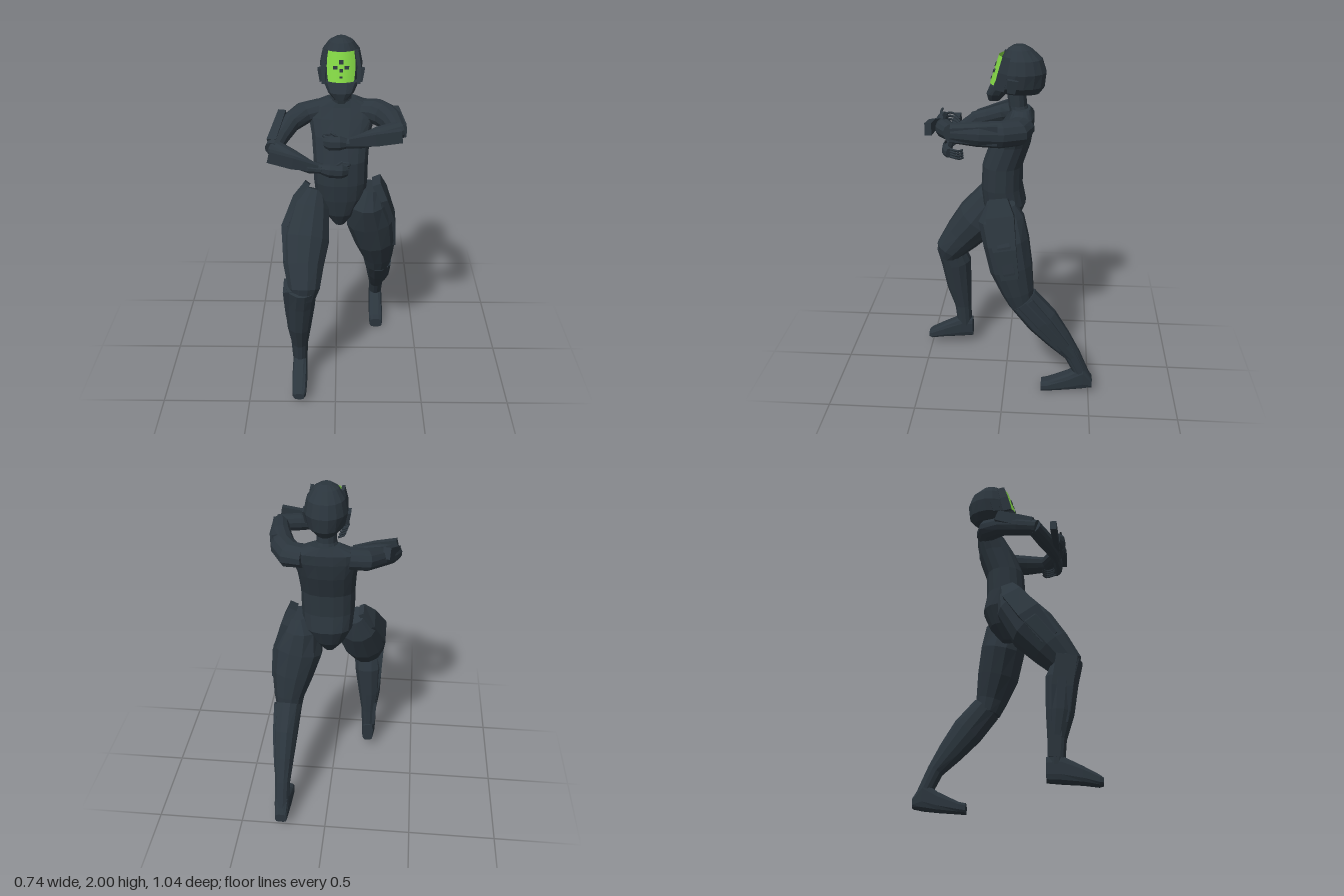
import * as THREE from 'three';

const suit = new THREE.MeshStandardMaterial({ color: 0x2b353d, flatShading: true, side: THREE.DoubleSide });
suit.name = 'darkSuit';
const glass = new THREE.MeshStandardMaterial({ color: 0x82d544, side: THREE.DoubleSide });
glass.name = 'greenVisor';

const X = new THREE.Vector3(1, 0, 0), Y = new THREE.Vector3(0, 1, 0), Z = new THREE.Vector3(0, 0, 1);

// Capped skin over rings [x, y, z, halfWidth along u, halfDepth]; axis fixes the ring plane; pow < 1 is boxier
function loft(name, rings, u0, { axis = null, sides = 12, pow = 1 } = {}) {
  const pos = [], idx = [], n = rings.length;
  const centre = rings.map(r => new THREE.Vector3(r[0], r[1], r[2]));
  const bend = v => Math.sign(v) * Math.pow(Math.abs(v), pow);
  rings.forEach((r, i) => {
    const t = axis ? axis.clone()
      : centre[Math.min(i + 1, n - 1)].clone().sub(centre[Math.max(i - 1, 0)]).normalize();
    const u = u0.clone().addScaledVector(t, -u0.dot(t)).normalize();
    const v = t.clone().cross(u);
    for (let j = 0; j < sides; j++) {
      const a = (j + 0.5) / sides * Math.PI * 2;
      const p = centre[i].clone().addScaledVector(u, bend(Math.cos(a)) * r[3])
        .addScaledVector(v, bend(Math.sin(a)) * (r[4] ?? r[3]));
      pos.push(p.x, p.y, p.z);
    }
  });
  for (let i = 0; i < n - 1; i++) for (let j = 0; j < sides; j++) {
    const k = (j + 1) % sides, a = i * sides, b = a + sides;
    idx.push(a + j, a + k, b + k, a + j, b + k, b + j);
  }
  const end = (n - 1) * sides;
  for (let j = 1; j < sides - 1; j++) idx.push(0, j + 1, j, end, end + j, end + j + 1);
  const geo = new THREE.BufferGeometry();
  geo.setAttribute('position', new THREE.Float32BufferAttribute(pos, 3));
  geo.setIndex(idx);
  geo.computeVertexNormals();
  const mesh = new THREE.Mesh(geo, suit);
  mesh.name = name;
  return mesh;
}

// Four-sided armour plate along a path
const plate = (name, rings, u) => loft(name, rings, u, { sides: 4 });

// Curled fingers and a thumb; dir is the way the hand points in x
function fingers(name, x, y, z, dir) {
  const g = new THREE.Group();
  g.name = name;
  const digit = pts => {
    const path = new THREE.CatmullRomCurve3(pts.map(p => new THREE.Vector3(x + dir * p[0], y + p[1], z + p[2])));
    g.add(new THREE.Mesh(new THREE.TubeGeometry(path, 6, 0.007, 5), suit));
  };
  for (let i = 0; i < 4; i++) {
    const h = 0.026 - i * 0.017, s = i * 0.006;
    digit([[-0.02, h, 0], [0.015 - s, h, -0.025], [0.012 - s, h - 0.01, -0.06], [-0.02 - s, h - 0.015, -0.08]]);
  }
  digit([[-0.06, 0.02, 0], [-0.045, 0.045, 0.015], [-0.02, 0.06, 0.01]]);
  return g;
}

function buildHead() {
  const g = new THREE.Group();
  g.name = 'head';
  const x = 0.025;
  g.add(loft('neck', [[x, 1.62, -0.08, 0.075, 0.055], [x, 1.68, -0.06, 0.055, 0.05], [x, 1.79, -0.05, 0.055, 0.055]], X, { axis: Y }));
  // y, back z, front z, half width
  const rings = [[1.745, -0.175, 0.02, 0.06], [1.785, -0.205, 0.072, 0.1], [1.86, -0.213, 0.053, 0.115],
    [1.93, -0.19, 0.03, 0.1], [1.98, -0.135, -0.005, 0.065], [2, -0.1, -0.035, 0.03]];
  // ring depth runs toward -z, which is symmetric here
  const toRing = ([y, b, f, w]) => [x, y, (b + f) / 2, w, (f - b) / 2];
  g.add(loft('helmet', rings.map(toRing), X, { axis: Y, sides: 16 }));
  g.add(loft('chinGuard', [[1.705, 0.035, 0.098, 0.035], [1.745, 0, 0.107, 0.07], [1.795, -0.03, 0.085, 0.095]].map(toRing),
    X, { axis: Y, pow: 0.8 }));
  for (const s of [-1, 1]) {
    g.add(plate('visorCheek', [[x + s * 0.092, 1.78, 0.035, 0.014, 0.04], [x + s * 0.094, 1.87, 0.015, 0.014, 0.035],
      [x + s * 0.08, 1.95, -0.005, 0.012, 0.03]], X));
    g.add(plate('earPad', [[x + s * 0.105, 1.77, -0.03, 0.012, 0.03], [x + s * 0.115, 1.84, -0.04, 0.015, 0.04]], X));
  }
  // Curved visor sheet
  const surf = (dx, y) => 0.088 - 0.32 * (y - 1.8) - 5.2 * dx * dx;
  const visorGeo = new THREE.PlaneGeometry(0.15, 0.15, 10, 4);
  const p = visorGeo.attributes.position;
  for (let i = 0; i < p.count; i++) {
    const y = 1.875 + p.getY(i), t = (y - 1.8) / 0.15;
    const dx = p.getX(i) * (0.9 + 0.1 * Math.sin(Math.PI * t));
    p.setXYZ(i, x + dx, y, surf(dx, y));
  }
  visorGeo.computeVertexNormals();
  const visor = new THREE.Mesh(visorGeo, glass);
  visor.name = 'visor';
  g.add(visor);
  // Small dark vents on the visor
  for (const [dx, y, w, h] of [[0, 1.9, 0.024, 0.022], [-0.03, 1.872, 0.024, 0.018], [0.03, 1.872, 0.024, 0.018],
    [0, 1.86, 0.018, 0.016], [0, 1.827, 0.016, 0.012]]) {
    const vent = new THREE.Mesh(new THREE.BoxGeometry(w, h, 0.006), suit);
    vent.position.set(x + dx, y, surf(dx, y) + 0.001);
    vent.rotation.x = -0.31;
    vent.name = 'visorVent';
    g.add(vent);
  }
  return g;
}

function buildTorso() {
  return loft('torso', [[0.02, 0.94, 0.03, 0.03, 0.035], [0.02, 1.02, 0.02, 0.09, 0.09], [0.025, 1.12, 0.01, 0.14, 0.12],
    [0.025, 1.22, 0.025, 0.15, 0.115], [0.025, 1.35, 0.02, 0.152, 0.112], [0.025, 1.48, -0.025, 0.162, 0.11],
    [0.03, 1.57, -0.06, 0.185, 0.09], [0.03, 1.625, -0.08, 0.185, 0.07], [0.03, 1.665, -0.08, 0.08, 0.05]],
  X, { axis: Y, sides: 16, pow: 0.85 });
}

function buildRightLeg() {
  const g = new THREE.Group();
  g.name = 'rightLeg';
  g.add(
    loft('thigh', [[-0.12, 1.16, 0.04, 0.06, 0.06], [-0.145, 1.07, 0.08, 0.11, 0.11], [-0.17, 0.92, 0.18, 0.137, 0.135],
      [-0.18, 0.8, 0.28, 0.115, 0.115], [-0.175, 0.7, 0.36, 0.09, 0.09], [-0.18, 0.65, 0.36, 0.07, 0.07]], X),
    plate('hipPlate', [[-0.16, 1.2, 0.04, 0.025, 0.05], [-0.22, 1.12, 0.07, 0.03, 0.08], [-0.285, 0.98, 0.16, 0.025, 0.09],
      [-0.275, 0.82, 0.27, 0.02, 0.07]], X),
    loft('shin', [[-0.19, 0.72, 0.37, 0.085, 0.08], [-0.2, 0.6, 0.33, 0.087, 0.092], [-0.21, 0.42, 0.315, 0.07, 0.077],
      [-0.21, 0.28, 0.295, 0.048, 0.052], [-0.21, 0.14, 0.287, 0.042, 0.046]], X),
    plate('shinPlate', [[-0.265, 0.72, 0.36, 0.035, 0.08], [-0.26, 0.55, 0.33, 0.03, 0.08], [-0.245, 0.36, 0.31, 0.02, 0.06]], X),
    plate('anklePlate', [[-0.245, 0.35, 0.29, 0.022, 0.05], [-0.24, 0.18, 0.28, 0.018, 0.04]], X),
    loft('foot', [[-0.21, 0.12, 0.235, 0.035, 0.065], [-0.21, 0.12, 0.31, 0.043, 0.072], [-0.21, 0.088, 0.42, 0.044, 0.047],
      [-0.21, 0.06, 0.5, 0.04, 0.03], [-0.21, 0.055, 0.52, 0.03, 0.02]], X, { axis: Z, pow: 0.6 }));
  return g;
}

function buildLeftLeg() {
  const g = new THREE.Group();
  g.name = 'leftLeg';
  g.add(
    loft('thigh', [[0.19, 1.17, 0.02, 0.06, 0.08], [0.18, 1.08, 0.02, 0.11, 0.13], [0.2, 0.95, -0.01, 0.146, 0.13],
      [0.23, 0.8, -0.04, 0.125, 0.122], [0.25, 0.66, -0.08, 0.09, 0.092], [0.25, 0.58, -0.1, 0.075, 0.07]], X),
    plate('hipPlate', [[0.225, 1.21, 0.03, 0.035, 0.07], [0.265, 1.12, 0.02, 0.035, 0.11], [0.325, 0.95, -0.01, 0.025, 0.09],
      [0.335, 0.78, -0.04, 0.02, 0.07]], X),
    loft('shin', [[0.255, 0.61, -0.11, 0.083, 0.088], [0.26, 0.48, -0.22, 0.073, 0.095], [0.26, 0.36, -0.315, 0.058, 0.075],
      [0.26, 0.25, -0.4, 0.045, 0.048], [0.26, 0.11, -0.465, 0.04, 0.042]], X),
    plate('shinPlate', [[0.31, 0.61, -0.12, 0.03, 0.08], [0.31, 0.47, -0.23, 0.025, 0.08], [0.3, 0.32, -0.35, 0.015, 0.05]], X),
    plate('anklePlate', [[0.285, 0.3, -0.375, 0.022, 0.04], [0.285, 0.15, -0.45, 0.018, 0.035]], X),
    loft('foot', [[0.26, 0.065, -0.52, 0.035, 0.03], [0.26, 0.105, -0.465, 0.043, 0.083], [0.26, 0.07, -0.38, 0.044, 0.057],
      [0.26, 0.036, -0.26, 0.045, 0.032], [0.26, 0.03, -0.22, 0.04, 0.03]], X, { axis: Z, pow: 0.6 }));
  return g;
}

function buildRightArm() {
  const g = new THREE.Group();
  g.name = 'rightArm';
  g.add(
    loft('upperArm', [[-0.09, 1.59, -0.08, 0.06, 0.07], [-0.18, 1.575, -0.06, 0.06, 0.07], [-0.25, 1.55, 0.02, 0.055, 0.055],
      [-0.3, 1.51, 0.12, 0.05, 0.05], [-0.33, 1.48, 0.22, 0.045, 0.045]], Y),
    plate('upperArmPlate', [[-0.29, 1.59, -0.01, 0.045, 0.03], [-0.335, 1.5, 0.19, 0.05, 0.035]], Y),
    loft('forearm', [[-0.33, 1.485, 0.2, 0.045], [-0.24, 1.455, 0.26, 0.048], [-0.13, 1.425, 0.315, 0.034], [-0.07, 1.42, 0.325, 0.025]], Y),
    plate('forearmGuard', [[-0.345, 1.485, 0.31, 0.045, 0.025], [-0.22, 1.455, 0.325, 0.045, 0.022], [-0.09, 1.43, 0.335, 0.025, 0.015]], Y),
    loft('hand', [[-0.08, 1.42, 0.325, 0.025, 0.02], [-0.03, 1.415, 0.335, 0.038, 0.028], [0.03, 1.41, 0.335, 0.038, 0.025],
      [0.06, 1.405, 0.32, 0.028, 0.015]], Y, { sides: 8 }),
    fingers('fingers', 0.055, 1.405, 0.325, 1));
  return g;
}

function buildLeftArm() {
  const g = new THREE.Group();
  g.name = 'leftArm';
  g.add(
    loft('upperArm', [[0.14, 1.59, -0.08, 0.06, 0.08], [0.22, 1.585, -0.06, 0.07, 0.08], [0.27, 1.59, 0.02, 0.07, 0.07],
      [0.3, 1.6, 0.13, 0.065, 0.062], [0.32, 1.61, 0.27, 0.05, 0.045]], Y),
    plate('upperArmPlate', [[0.305, 1.6, 0.03, 0.075, 0.04], [0.335, 1.61, 0.27, 0.05, 0.035]], Y),
    loft('forearm', [[0.33, 1.615, 0.26, 0.045], [0.22, 1.6, 0.31, 0.05], [0.11, 1.58, 0.345, 0.034], [0.05, 1.575, 0.35, 0.025]], Y),
    plate('forearmGuard', [[0.33, 1.63, 0.38, 0.045, 0.025], [0.2, 1.61, 0.38, 0.045, 0.022], [0.07, 1.59, 0.365, 0.025, 0.015]], Y),
    loft('hand', [[0.06, 1.575, 0.35, 0.025, 0.02], [0.02, 1.58, 0.36, 0.038, 0.026], [-0.03, 1.578, 0.355, 0.04, 0.025],
      [-0.055, 1.575, 0.34, 0.03, 0.015]], Y, { sides: 8 }),
    fingers('fingers', -0.045, 1.575, 0.345, -1));
  return g;
}

export function createModel() {
  const model = new THREE.Group();
  model.name = 'armouredFighter';
  model.add(buildHead(), buildTorso(), buildRightLeg(), buildLeftLeg(), buildRightArm(), buildLeftArm());
  return model;
}
